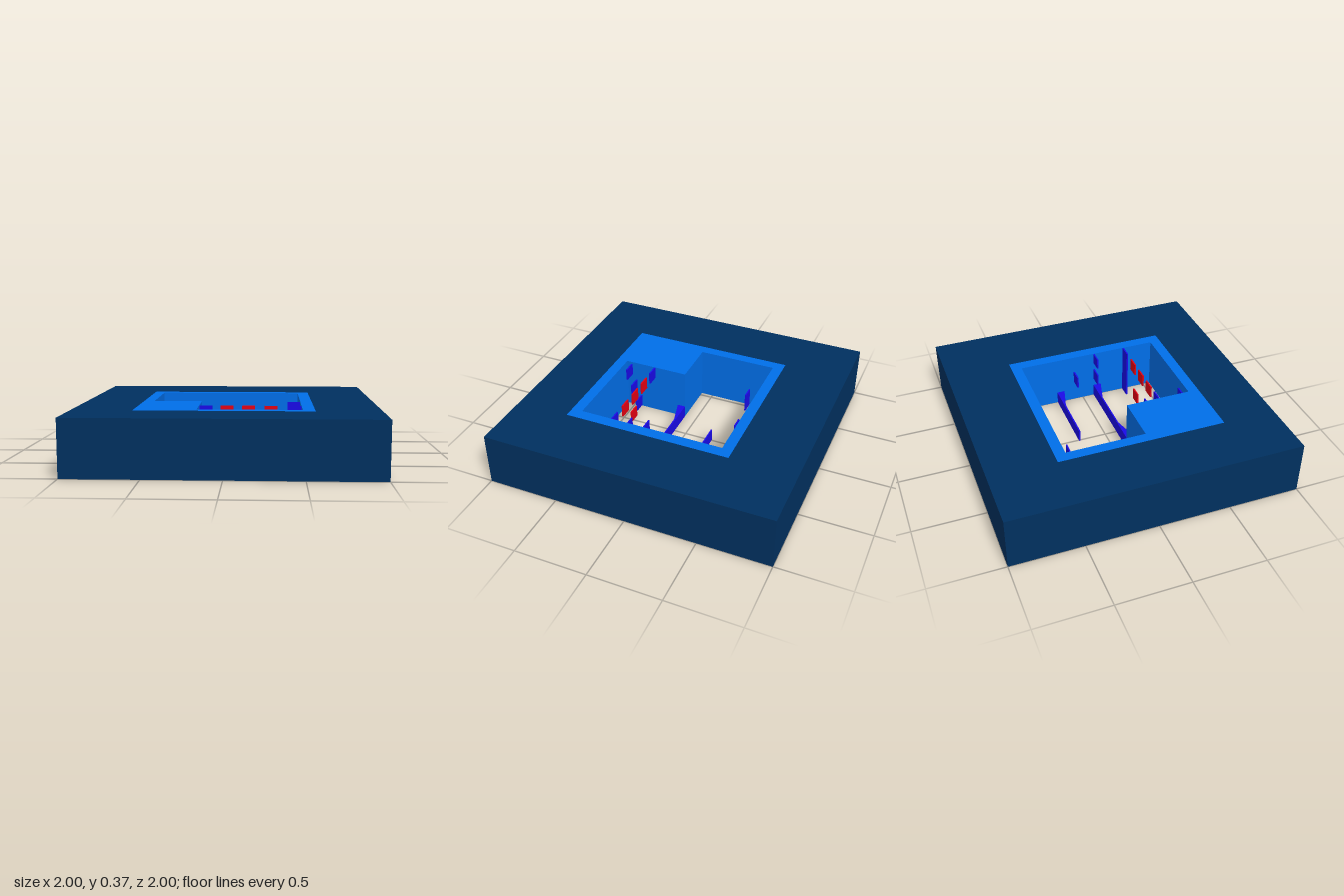
import * as THREE from 'three';

const HEIGHT = 0.374;
const paint = (color) => new THREE.MeshStandardMaterial({ color });
const NAVY = paint(0x00305f), AZURE = paint(0x006ee8), VIOLET = paint(0x1a0ae8), RED = paint(0xe60012);

// Plan outlines are given as [x, z] pairs and extruded upward from y = 0.
// Reversing them makes them counter-clockwise, so hole walls face inward.
const toPoints = (plan) => plan.map(([x, z]) => new THREE.Vector2(x, -z)).reverse();
const rect = (x0, x1, z0, z1) => [[x0, z0], [x1, z0], [x1, z1], [x0, z1]];

function extrudePlan(name, plan, height, material, hole) {
  const shape = new THREE.Shape(toPoints(plan));
  if (hole) shape.holes.push(new THREE.Path(toPoints(hole)));
  const geometry = new THREE.ExtrudeGeometry(shape, { depth: height, bevelEnabled: false });
  geometry.rotateX(-Math.PI / 2);
  const mesh = new THREE.Mesh(geometry, material);
  mesh.name = name;
  return mesh;
}

// Thin upright tile facing front and back.
function tile(name, x, z, y0, y1, material) {
  const mesh = new THREE.Mesh(new THREE.BoxGeometry(0.087, y1 - y0, 0.01), material);
  mesh.position.set(x, (y0 + y1) / 2, z);
  mesh.name = name;
  return mesh;
}

export function createModel() {
  const model = new THREE.Group();

  // Outer slab and the lighter lining with its L-shaped shaft
  const opening = rect(-0.6, 0.573, -0.54, 0.627);
  const shaft = [[-0.527, -0.467], [0.494, -0.467], [0.494, 0.552], [-0.193, 0.552], [-0.193, 0.088], [-0.527, 0.088]];
  model.add(extrudePlan('outerSlab', rect(-1, 1, -1, 1), HEIGHT, NAVY, opening));
  model.add(extrudePlan('innerLining', opening, HEIGHT, AZURE, shaft));

  // Low rails that flare where they meet the walls
  model.add(extrudePlan('frontRail',
    [[-0.193, 0.088], [0.494, 0.088], [0.494, 0.146], [0.32, 0.098], [-0.015, 0.098], [-0.193, 0.146]], 0.09, VIOLET));
  model.add(extrudePlan('backRail',
    [[-0.008, -0.203], [0.494, -0.203], [0.494, -0.147], [0.32, -0.193], [-0.008, -0.193]], 0.09, VIOLET));

  // Upper row of tiles, with a full-height post at its end
  const columns = [-0.149, -0.006, 0.14, 0.29];
  columns.forEach((x, i) => model.add(tile('upperTile', x, 0.329, 0.285, 0.372, i ? RED : VIOLET)));
  model.add(tile('post', 0.45, 0.329, 0, 0.372, VIOLET));

  // Lower row, stepping forward from right to left
  const steps = [[0.444, VIOLET], [0.419, RED], [0.384, VIOLET], [0.356, RED]];
  steps.forEach(([z, material], i) => model.add(tile('lowerTile', columns[i], z, 0.01, 0.097, material)));

  // Tiles climbing beside the notch
  model.add(tile('climbingTile', -0.149, 0.481, 0.14, 0.227, VIOLET));
  model.add(tile('climbingTile', -0.149, 0.515, 0.27, 0.357, VIOLET));

  // Tiles along the side wall
  model.add(tile('wallTile', 0.45, -0.065, 0.16, 0.247, VIOLET));
  model.add(tile('wallTile', 0.45, 0.093, 0.15, 0.235, VIOLET));
  model.add(tile('wallTile', 0.45, 0.093, 0.295, 0.372, VIOLET));

  // Tiles in the back chamber
  model.add(tile('backTile', -0.162, -0.333, 0, 0.087, VIOLET));
  model.add(tile('backTile', -0.483, -0.298, 0, 0.14, VIOLET));

  return model;
}
